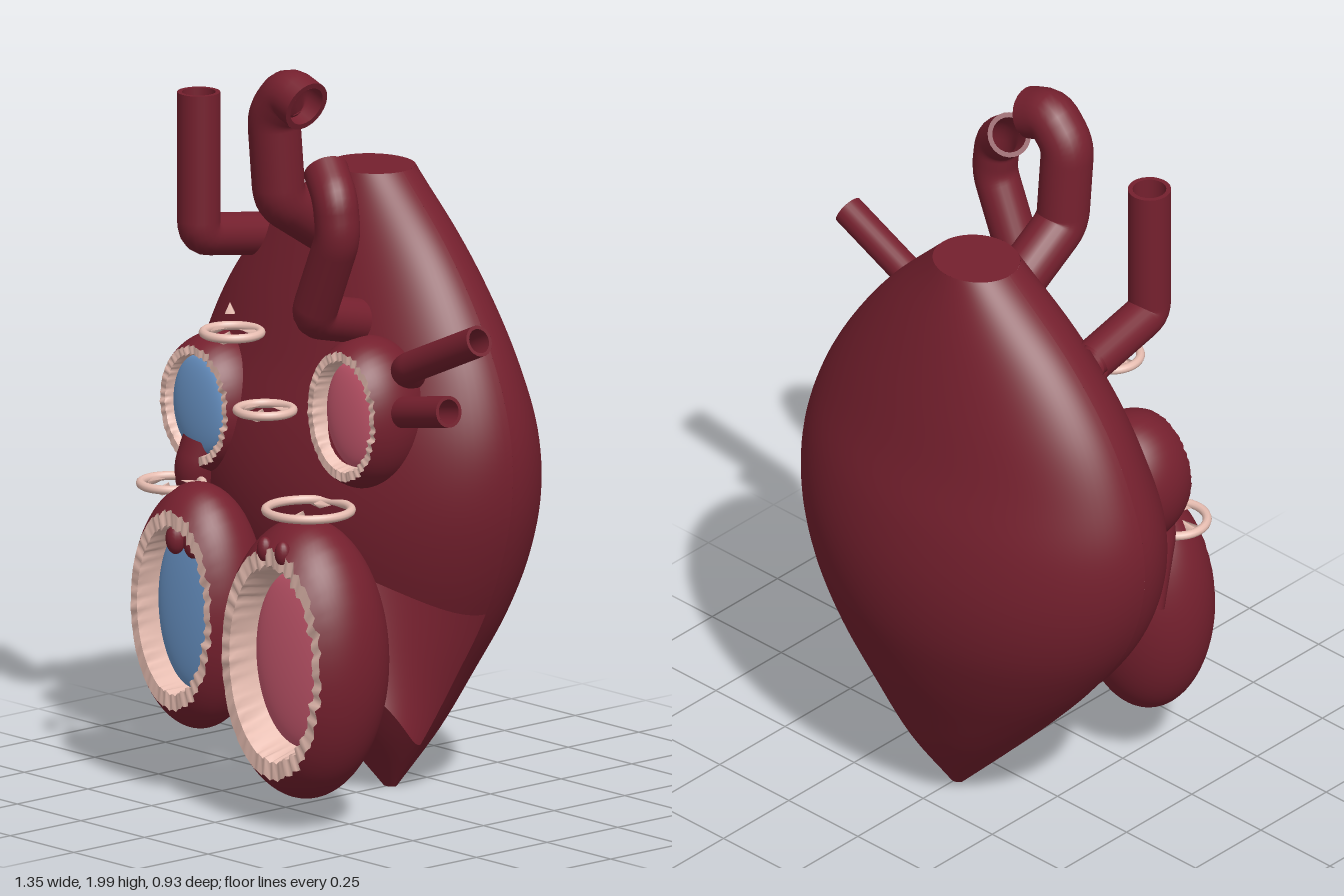
import * as THREE from 'three';
import { mergeVertices } from 'three/addons/utils/BufferGeometryUtils.js';

const material = (name, color) => {
  const m = new THREE.MeshStandardMaterial({ color, side: THREE.DoubleSide });
  m.name = name;
  return m;
};

// Smooth surface from a rule (u, v) -> [x, y, z]
function surface(rule, nu, nv) {
  const pos = [], index = [];
  for (let j = 0; j <= nv; j++) for (let i = 0; i <= nu; i++) pos.push(...rule(i / nu, j / nv));
  for (let j = 0; j < nv; j++) for (let i = 0; i < nu; i++) {
    const a = j * (nu + 1) + i, b = a + nu + 1;
    index.push(a, a + 1, b, b, a + 1, b + 1);
  }
  let g = new THREE.BufferGeometry();
  g.setAttribute('position', new THREE.Float32BufferAttribute(pos, 3));
  g.setIndex(index);
  g = mergeVertices(g, 1e-5);
  g.computeVertexNormals();
  return g;
}

// Cross-sections of the outer wall at even heights: centre x, half width, half depth
const HEIGHT = 1.67, BODY_Z = -0.12;
const sections = new THREE.CatmullRomCurve3([
  [0, 0.02, 0.015], [-0.02, 0.165, 0.13], [-0.045, 0.3, 0.21], [-0.065, 0.425, 0.28],
  [-0.085, 0.52, 0.33], [-0.095, 0.572, 0.345], [-0.1, 0.577, 0.325], [-0.1, 0.53, 0.277],
  [-0.1, 0.44, 0.23], [-0.09, 0.305, 0.175], [-0.07, 0.12, 0.11],
].map((p) => new THREE.Vector3(...p)), false, 'catmullrom', 0.5);

function wallPoint(angle, y) {
  const s = sections.getPoint(y / HEIGHT);
  return [s.x + s.y * Math.cos(angle), y, BODY_Z + s.z * Math.sin(angle)];
}

// Ragged edge for cut rims
const ragged = (a) => 0.025 * Math.sin(a * 23) * Math.sin(a * 9 + 1) + 0.02 * Math.sin(a * 41 + 2);

export function createModel() {
  const model = new THREE.Group();
  model.name = 'heart';
  const muscle = material('dark red muscle', 0x75202e);
  const lining = material('pale lining', 0xe8beb2);
  const blue = material('blue blood', 0x6b96c9);
  const pink = material('pink blood', 0xcb5a70);

  const add = (name, geometry, mat, parent = model) => {
    const m = new THREE.Mesh(geometry, mat);
    m.name = name;
    parent.add(m);
    return m;
  };

  // Outer wall: full back half, front half split by an open window
  const wall = (name, a0, a1, low, high, rows) => add(name, surface((u, v) => {
    const a = a0 + (a1 - a0) * u, lo = low(a), hi = high(a);
    return wallPoint(a, hi + (lo - hi) * v);
  }, 48, rows), muscle);
  const windowTop = (a) => 0.53 + 0.16 * Math.sin(a) ** 2;
  const windowBottom = (a) => 0.175 - 0.045 * Math.cos(a) + 0.2 * Math.sin(a) ** 2;
  wall('backWall', Math.PI, Math.PI * 2, () => 0, () => HEIGHT, 60);
  wall('upperFrontWall', 0, Math.PI, windowTop, () => HEIGHT, 40);
  wall('lowerFrontWall', 0, Math.PI, () => 0, windowBottom, 14);
  const cap = add('topCap', new THREE.CircleGeometry(1, 48), muscle);
  cap.rotation.x = -Math.PI / 2;
  cap.scale.set(0.12, 0.11, 1);
  cap.position.set(-0.07, HEIGHT, BODY_Z);

  // Chambers: ellipsoid cups cut open at the front, lined down to a blood pool
  const chamber = (name, centre, radii, cut, blood, pool, poolZ) => {
    const g = new THREE.Group();
    g.name = name;
    g.position.set(...centre);
    model.add(g);
    const [rx, ry, rz] = radii, inner = 0.9;
    const point = (a, phi, k) => [
      k * rx * Math.sin(phi) * Math.cos(a), k * ry * Math.sin(phi) * Math.sin(a), -k * rz * Math.cos(phi)];
    const outerRim = (a) => point(a, Math.PI - Math.acos(cut) + ragged(a), 1);
    const innerRim = (a) => point(a, Math.PI - Math.acos(cut / inner) + ragged(a), inner);
    const poolEdge = (a) => [pool[0] * rx * Math.cos(a), pool[1] * ry * Math.sin(a), poolZ];
    // Straight strip between two closed loops
    const strip = (part, from, to, rows) => add(part, surface((u, v) => {
      const p = from(u * Math.PI * 2), q = to(u * Math.PI * 2);
      return p.map((c, i) => c + (q[i] - c) * v);
    }, 120, rows), lining, g);
    add('chamberWall', surface((u, v) => {
      const a = u * Math.PI * 2;
      return point(a, v * (Math.PI - Math.acos(cut) + ragged(a)), 1);
    }, 120, 28), muscle, g);
    strip('chamberRim', outerRim, innerRim, 1);
    strip('chamberLining', innerRim, poolEdge, 4);
    const b = add('bloodPool', new THREE.SphereGeometry(1, 40, 28), blood, g);
    b.scale.set(rx * pool[0], ry * pool[1], rz * 0.15);
    b.position.z = poolZ;
  };
  chamber('rightVentricle', [-0.285, 0.505, 0.3], [0.195, 0.332, 0.17], 0.59, blue, [0.69, 0.67], 0.02);
  chamber('leftVentricle', [0.17, 0.45, 0.335], [0.236, 0.378, 0.21], 0.57, pink, [0.7, 0.63], 0.02);
  chamber('rightAtrium', [-0.395, 1.01, 0.13], [0.155, 0.19, 0.17], 0.53, blue, [0.66, 0.71], 0.066);
  chamber('leftAtrium', [0.185, 1.085, 0.13], [0.155, 0.205, 0.17], 0.53, pink, [0.66, 0.69], 0.045);

  // Papillary muscles hanging at the top of each ventricle
  for (const [x, y, z, s] of [[-0.31, 0.69, 0.36, 1], [-0.24, 0.69, 0.36, 1],
    [0.135, 0.755, 0.445, 0.8], [0.205, 0.755, 0.445, 0.8]]) {
    const p = add('papillaryMuscle', new THREE.SphereGeometry(1, 16, 12), muscle);
    p.scale.set(0.027 * s, 0.042 * s, 0.027 * s);
    p.position.set(x, y, z);
  }

  // Vessels: open tubes with a thin wall and tight bends
  const vessel = (name, radius, points) => {
    const g = new THREE.Group();
    g.name = name;
    model.add(g);
    const v = points.map((p) => new THREE.Vector3(...p));
    const path = new THREE.CurvePath();
    let start = v[0];
    for (let i = 1; i < v.length - 1; i++) {
      const bend = Math.min(0.035, v[i].distanceTo(v[i - 1]) * 0.4, v[i].distanceTo(v[i + 1]) * 0.4);
      const before = v[i].clone().add(v[i - 1].clone().sub(v[i]).setLength(bend));
      const after = v[i].clone().add(v[i + 1].clone().sub(v[i]).setLength(bend));
      path.add(new THREE.LineCurve3(start, before));
      path.add(new THREE.QuadraticBezierCurve3(before, v[i], after));
      start = after;
    }
    const last = v[v.length - 1];
    path.add(new THREE.LineCurve3(start, last));
    add('outerTube', new THREE.TubeGeometry(path, 48, radius, 24), muscle, g);
    add('innerTube', new THREE.TubeGeometry(path, 48, radius * 0.78, 24), muscle, g);
    const lip = add('tubeLip', new THREE.RingGeometry(radius * 0.78, radius, 24), muscle, g);
    lip.position.copy(last);
    lip.lookAt(last.clone().add(path.getTangent(1)));
  };
  vessel('aorta', 0.07, [[-0.07, 1.51, 0.02], [-0.07, 1.63, 0.21], [-0.07, 1.86, 0.23], [-0.01, 1.93, 0.23], [0.06, 1.905, 0.23]]);
  vessel('superiorVenaCava', 0.057, [[-0.39, 1.44, -0.02], [-0.375, 1.48, 0.22], [-0.375, 1.865, 0.22]]);
  vessel('pulmonaryArtery', 0.06, [[0.13, 1.32, 0.12], [0.14, 1.36, 0.28], [0.262, 1.6, 0.3], [0.25, 1.7, 0.3], [0.18, 1.76, 0.27]]);
  vessel('inferiorVenaCava', 0.057, [[-0.41, 0.91, 0.17], [-0.425, 0.83, 0.19], [-0.465, 0.65, 0.1]]);
  vessel('upperPulmonaryVein', 0.042, [[0.28, 1.19, 0.06], [0.36, 1.235, 0.15], [0.655, 1.365, 0.155]]);
  vessel('lowerPulmonaryVein', 0.042, [[0.28, 1.1, 0.13], [0.53, 1.15, 0.15]]);

  // Valves: flat rings with small pointed leaflets leaning inward
  const valve = (name, centre, radius, leaflets) => {
    const g = new THREE.Group();
    g.name = name;
    g.position.set(...centre);
    model.add(g);
    add('valveRing', new THREE.TorusGeometry(radius, 0.012, 10, 48), lining, g).rotation.x = Math.PI / 2;
    for (let i = 0; i < leaflets; i++) {
      const a = (i / leaflets) * Math.PI * 2 + 0.5;
      const leaf = add('leaflet', new THREE.ConeGeometry(0.03, 0.055, 4), lining, g);
      leaf.scale.z = 0.35;
      leaf.rotation.order = 'YXZ';
      leaf.rotation.set(-1.3, a, 0);
      leaf.position.set(Math.sin(a) * radius * 0.6, 0, Math.cos(a) * radius * 0.6);
    }
  };
  valve('aorticValve', [-0.205, 1.25, 0.255], 0.076, 3);
  valve('pulmonaryValve', [-0.07, 1.065, 0.26], 0.074, 3);
  valve('tricuspidValve', [-0.41, 0.81, 0.285], 0.082, 3);
  valve('mitralValve', [0.145, 0.84, 0.3], 0.113, 2);
  const stray = add('looseLeaflet', new THREE.ConeGeometry(0.018, 0.03, 4), lining);
  stray.position.set(-0.23, 1.31, 0.24);

  return model;
}
